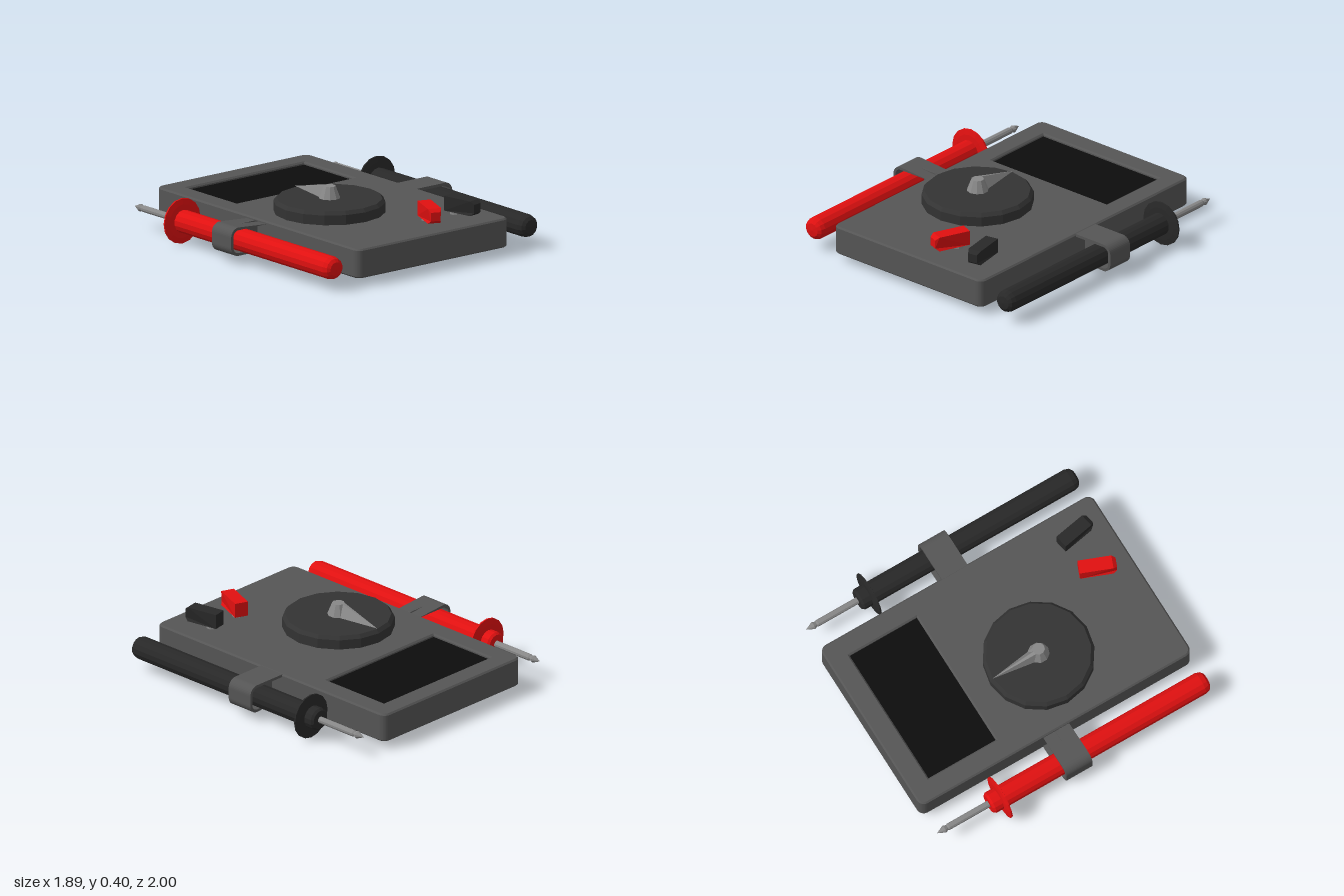
import * as THREE from 'three';

const paint = (color) => new THREE.MeshStandardMaterial({ color, flatShading: true });

function roundedRect(x0, y0, x1, y1, r, Type = THREE.Shape) {
  const s = new Type();
  s.absarc(x1 - r, y0 + r, r, -Math.PI / 2, 0);
  s.absarc(x1 - r, y1 - r, r, 0, Math.PI / 2);
  s.absarc(x0 + r, y1 - r, r, Math.PI / 2, Math.PI);
  s.absarc(x0 + r, y0 + r, r, Math.PI, Math.PI * 1.5);
  s.closePath();
  return s;
}

const lathe = (points, sides) =>
  new THREE.LatheGeometry(points.map(([r, y]) => new THREE.Vector2(r, y)), sides);

export function createModel() {
  const model = new THREE.Group();
  const caseMat = paint(0x555555), dialMat = paint(0x333333), black = paint(0x282828);
  const red = paint(0xe01010), metal = paint(0x888888), screenMat = paint(0x0d0d0d);

  const add = (name, geometry, material, x = 0, y = 0, z = 0, parent = model) => {
    const mesh = new THREE.Mesh(geometry, material);
    mesh.name = name;
    mesh.position.set(x, y, z);
    parent.add(mesh);
    return mesh;
  };

  // Case with a bevelled window for the screen
  const bevel = 0.01;
  const outline = roundedRect(-0.61, -0.99, 0.61, 0.99, 0.04);
  outline.holes.push(new THREE.Path([[-0.49, 0.355], [-0.49, 0.87], [0.49, 0.87], [0.49, 0.355]]
    .map(([x, y]) => new THREE.Vector2(x, y))));
  const caseGeo = new THREE.ExtrudeGeometry(outline, {
    depth: 0.17, bevelSize: bevel, bevelThickness: bevel, bevelSegments: 1, curveSegments: 4,
  });
  caseGeo.rotateX(-Math.PI / 2);
  add('case', caseGeo, caseMat, 0, 0.065, 0);
  add('screenBacking', new THREE.BoxGeometry(1.0, 0.16, 0.535), caseMat, 0, 0.135, -0.6125);
  add('screen', new THREE.BoxGeometry(0.98, 0.012, 0.515), screenMat, 0, 0.22, -0.6125);

  // Selector dial
  add('dial', lathe([[0, 0], [0.355, 0], [0.355, 0.065], [0.335, 0.088], [0, 0.088]], 16),
    dialMat, -0.15, 0.243, 0.15);

  // Pointer: a short cone with one foot vertex drawn out to a tip
  const pointerGeo = new THREE.CylinderGeometry(0.04, 0.07, 0.077, 10, 1);
  const p = pointerGeo.attributes.position;
  for (let i = 0; i < p.count; i++) {
    if (p.getY(i) < 0 && p.getZ(i) > 0.069) p.setXYZ(i, 0, -0.033, 0.34);
  }
  pointerGeo.rotateY(Math.PI);
  pointerGeo.computeVertexNormals();
  add('pointer', pointerGeo, metal, -0.15, 0.37, 0.15);

  // Plugs with a rounded cable end and a pin below
  const plugShape = roundedRect(-0.12, -0.048, 0.12, 0.048, 0.025);
  const plugSide = new THREE.Shape();
  plugSide.moveTo(-0.12, -0.048);
  plugSide.lineTo(0.095, -0.048);
  plugSide.lineTo(0.12, -0.028);
  plugSide.lineTo(0.12, 0.028);
  plugSide.lineTo(0.095, 0.048);
  plugSide.lineTo(-0.12, 0.048);
  plugSide.closePath();
  const plugGeo = new THREE.ExtrudeGeometry(plugSide, { depth: 0.088, bevelEnabled: false });
  plugGeo.translate(0, 0, -0.044);
  plugGeo.rotateY(-Math.PI / 2);
  // Narrow the cable end
  const q = plugGeo.attributes.position;
  for (let i = 0; i < q.count; i++) {
    if (q.getZ(i) > 0.11) q.setX(i, q.getX(i) * 0.72);
  }
  plugGeo.computeVertexNormals();
  for (const [name, mat, x, angle] of [['redPlug', red, 0.157, -0.38], ['blackPlug', black, 0.427, 0.18]]) {
    const plug = new THREE.Group();
    plug.name = name;
    plug.position.set(x, 0.312, 0.77);
    plug.rotation.y = angle;
    add('plugBody', plugGeo, mat, 0, 0, 0, plug);
    add('plugPin', new THREE.CylinderGeometry(0.035, 0.035, 0.06, 10), metal, 0, -0.06, -0.06, plug);
    model.add(plug);
  }

  // Probe parts run along y, tip up, then turn to point to the back
  const gripGeo = lathe([[0, -1], [0.045, -0.995], [0.065, -0.98], [0.074, -0.95], [0.074, 0.595],
    [0.062, 0.61], [0, 0.61]], 14);
  const guardGeo = lathe([[0.06, 0.51], [0.11, 0.513], [0.147, 0.52], [0.147, 0.53],
    [0.11, 0.537], [0.06, 0.54]], 16);
  const needleGeo = lathe([[0, 0.6], [0.022, 0.6], [0.022, 0.905], [0.017, 0.915], [0.025, 0.935],
    [0, 0.99]], 10);
  [gripGeo, guardGeo, needleGeo].forEach((g) => g.rotateX(-Math.PI / 2));

  // Clip: a rounded U strap around a thin plate with a square hole
  const strap = new THREE.Shape();
  strap.moveTo(0.6, 0.058);
  strap.absarc(0.845, 0.118, 0.06, -Math.PI / 2, 0);
  strap.absarc(0.845, 0.183, 0.06, 0, Math.PI / 2);
  strap.lineTo(0.6, 0.243);
  strap.lineTo(0.6, 0.225);
  strap.absarc(0.845, 0.183, 0.042, Math.PI / 2, 0, true);
  strap.absarc(0.845, 0.118, 0.042, 0, -Math.PI / 2, true);
  strap.lineTo(0.6, 0.076);
  strap.closePath();
  const strapGeo = new THREE.ExtrudeGeometry(strap, { depth: 0.19, bevelEnabled: false, curveSegments: 5 });
  const plate = roundedRect(0.6, 0.065, 0.895, 0.236, 0.045);
  plate.holes.push(new THREE.Path([[0.722, 0.076], [0.722, 0.226], [0.872, 0.226], [0.872, 0.076]]
    .map(([x, y]) => new THREE.Vector2(x, y))));
  const plateGeo = new THREE.ExtrudeGeometry(plate, { depth: 0.02, bevelEnabled: false, curveSegments: 4 });

  for (const [side, label, mat] of [[1, 'left', black], [-1, 'right', red]]) {
    const probe = new THREE.Group();
    probe.name = label + 'Probe';
    probe.position.set(side * 0.797, 0.151, 0);
    add('grip', gripGeo, mat, 0, 0, 0, probe);
    add('fingerGuard', guardGeo, mat, 0, 0, 0, probe);
    add('needle', needleGeo, metal, 0, 0, 0, probe);
    model.add(probe);

    const clip = new THREE.Group();
    clip.name = label + 'Clip';
    add('strap', strapGeo, caseMat, 0, 0, -0.1, clip);
    add('clipPlate', plateGeo, caseMat, 0, 0, -0.015, clip);
    // Half turn about the case's long axis mirrors the clip, which is symmetric in height
    if (side < 0) {
      clip.rotation.z = Math.PI;
      clip.position.y = 0.301;
    }
    model.add(clip);
  }
  return model;
}
